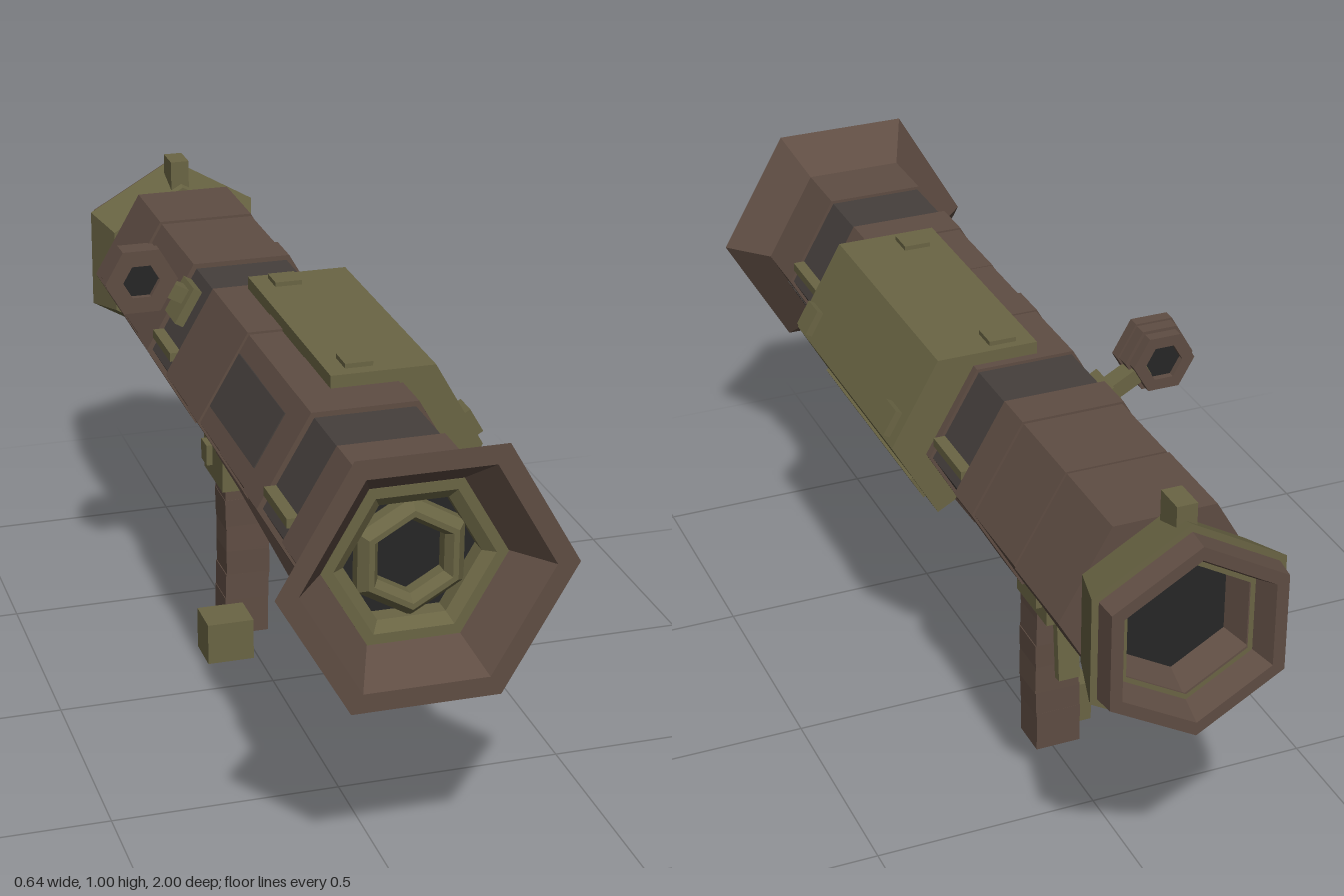
import * as THREE from 'three';

const CX = 0.015, CY = 0.727; // axis of the launch tube
const mat = (color) => new THREE.MeshStandardMaterial({ color, flatShading: true, side: THREE.DoubleSide });

export function createModel() {
  const root = new THREE.Group();
  const brown = mat(0x5f4d43), olive = mat(0x6a6544), dark = mat(0x453f3c), black = mat(0x262626);

  const add = (name, geo, material, x = 0, y = 0, z = 0, parent = root) => {
    const flat = geo.index ? geo.toNonIndexed() : geo;
    flat.computeVertexNormals();
    const m = new THREE.Mesh(flat, material);
    m.name = name;
    m.position.set(x, y, z);
    parent.add(m);
    return m;
  };
  const box = (name, material, x0, x1, y0, y1, z0, z1, parent) =>
    add(name, new THREE.BoxGeometry(x1 - x0, y1 - y0, z1 - z0), material,
      (x0 + x1) / 2, (y0 + y1) / 2, (z0 + z1) / 2, parent);
  // Six-sided lathe along z from [radius, z] pairs; pointed = corner at the top
  const hex = (name, pts, material, pointed = false, x = CX, y = CY) => {
    const g = new THREE.LatheGeometry(pts.map(p => new THREE.Vector2(...p)), 6, pointed ? 0 : Math.PI / 6);
    g.rotateX(Math.PI / 2);
    return add(name, g, material, x, y);
  };
  const prism = (name, r, z0, z1, material, pointed, x, y) =>
    hex(name, [[0, z0], [r, z0], [r, z1], [0, z1]], material, pointed, x, y);
  // Box lying on a tube facet; along = offset across the facet
  const onFacet = (name, material, angle, dist, along, z, thick, width, length) => {
    const g = new THREE.BoxGeometry(thick, width, length);
    g.translate(dist, along, 0);
    g.rotateZ(angle);
    return add(name, g, material, CX, CY, z);
  };

  // Tube sections: name, radius, rear z, front z, material
  [
    ['rearTube', 0.222, -0.835, -0.62, brown],
    ['rearGroove', 0.212, -0.62, -0.61, dark],
    ['midRearTube', 0.219, -0.61, -0.4, brown],
    ['rearBand', 0.225, -0.4, -0.305, brown],
    ['rearDarkTube', 0.212, -0.305, -0.15, dark],
    ['middleTube', 0.22, -0.15, 0.05, brown],
    ['middleBand', 0.224, 0.05, 0.14, brown],
    ['midFrontTube', 0.218, 0.14, 0.3, brown],
    ['frontTube', 0.22, 0.3, 0.5, brown],
    ['frontBand', 0.225, 0.5, 0.6, brown],
    ['frontDarkTube', 0.212, 0.6, 0.76, dark],
  ].forEach(([n, r, z0, z1, m]) => prism(n, r, z0, z1, m));
  onFacet('sidePanel', dark, Math.PI * 5 / 6, 0.19, 0, 0.32, 0.006, 0.13, 0.34);

  // Flared muzzle with its recessed funnel and rings
  hex('muzzle', [[0.2, 0.76], [0.22, 0.76], [0.22, 0.91], [0.305, 1], [0.258, 1], [0.19, 0.915], [0.19, 0.85]], brown);
  hex('muzzleRing', [[0.19, 0.86], [0.19, 0.917], [0.165, 0.917], [0.14, 0.9], [0.14, 0.86]], olive);
  prism('boreBack', 0.19, 0.84, 0.862, black);
  hex('innerRing', [[0.125, 0.86], [0.125, 0.89], [0.105, 0.91], [0.092, 0.91], [0.078, 0.89], [0.078, 0.86]], olive, true);

  // Rear collar and nozzle, turned by half a side
  hex('rearCollar', [[0.15, -0.95], [0.237, -0.95], [0.2, -0.835], [0, -0.835]], olive, true);
  hex('rearNozzle', [[0.13, -0.88], [0.185, -1], [0.215, -1], [0.22, -0.95], [0.15, -0.945]], brown, true);
  prism('nozzleBore', 0.135, -0.88, -0.86, black, true);
  box('rearSight', olive, -0.01, 0.034, 0.88, 0.988, -0.92, -0.85);

  // Olive strips along both sides of the dark sections
  for (const s of [-1, 1])
    for (const [z0, z1] of [[0.6, 0.76], [-0.305, -0.15]]) {
      const x = CX + s * 0.195;
      box('sideStrip', olive, x - 0.015, x + 0.015, 0.755, 0.775, z0, z1);
    }
  // Small vents near the muzzle
  for (const z of [0.82, 0.865])
    onFacet('vent', dark, -Math.PI / 6, 0.19, 0.0, z, 0.006, 0.09, 0.025);

  // Housing wrapped around the upper left of the tube
  const outline = [[-0.02, 0.9], [-0.02, 0.945], [0.205, 0.945], [0.312, 0.757], [0.21, 0.578], [0.17, 0.6], [0.1, 0.727]];
  const housing = new THREE.ExtrudeGeometry(new THREE.Shape(outline.map(p => new THREE.Vector2(...p))),
    { depth: 0.61, bevelEnabled: false });
  add('housing', housing, olive, 0, 0, -0.13);
  for (const z of [0.42, -0.08]) {
    box('topBolt', olive, 0.02, 0.08, 0.94, 0.955, z - 0.03, z + 0.03);
    const b = add('sideBolt', new THREE.BoxGeometry(0.02, 0.06, 0.06), olive, 0.296, 0.797, z + 0.01);
    b.rotation.z = Math.PI / 6;
  }
  const panel = add('housingPanel', new THREE.BoxGeometry(0.01, 0.06, 0.54), olive, 0.238, 0.625, 0.18);
  panel.rotation.z = -Math.PI / 6;

  // Tapered tray under the tube
  const tray = new THREE.Shape([[0.895, 0.455], [0.895, 0.56], [-0.13, 0.56], [-0.13, 0.532], [0.06, 0.525]]
    .map(p => new THREE.Vector2(...p)));
  const trayGeo = new THREE.ExtrudeGeometry(tray, { depth: 0.222, bevelEnabled: false });
  trayGeo.rotateY(-Math.PI / 2);
  add('underTray', trayGeo, brown, 0.125, 0, 0);

  // Side scope on its bracket
  hex('scope', [[0.042, -0.275], [0.042, -0.29], [0.07, -0.29], [0.07, -0.265], [0.078, -0.265], [0.078, -0.235],
    [0.083, -0.235], [0.083, -0.208], [0.042, -0.208], [0.042, -0.225]], brown, false, -0.242, 0.928);
  prism('scopeLens', 0.045, -0.275, -0.222, black, false, -0.242, 0.928);
  const arm = add('scopeArm', new THREE.BoxGeometry(0.14, 0.035, 0.045), olive, -0.15, 0.88, -0.255);
  arm.rotation.z = -0.5;
  onFacet('scopeMount', olive, Math.PI * 5 / 6, 0.19, -0.035, -0.255, 0.03, 0.09, 0.09);

  // Grip block, trigger and handle
  box('gripPlate', olive, -0.075, 0.07, 0.515, 0.545, -0.39, -0.2);
  box('gripBlock', olive, -0.06, 0.058, 0.392, 0.53, -0.372, -0.21);
  box('gripPin', olive, -0.074, 0.072, 0.425, 0.475, -0.347, -0.298);
  const trigger = add('trigger', new THREE.BoxGeometry(0.05, 0.17, 0.022), olive, 0, 0.32, -0.347);
  trigger.rotation.x = 0.1;
  [
    [0.365, 0.41, 0.0, 0.0], [0.295, 0.37, 0.0, 0.03], [0.235, 0.3, 0.002, -0.03],
    [0.17, 0.24, 0.002, 0.025], [0.11, 0.175, 0.0, -0.02], [0.02, 0.115, -0.002, 0.0],
  ].forEach(([y0, y1, x, tilt]) => {
    const seg = box('handleSegment', brown, x - 0.052, x + 0.052, y0, y1, -0.305, -0.215);
    seg.rotation.z = tilt;
    seg.rotation.x = tilt * 0.7;
  });
  box('gripFoot', olive, -0.122, -0.012, 0, 0.1, -0.216, -0.12);

  return root;
}
